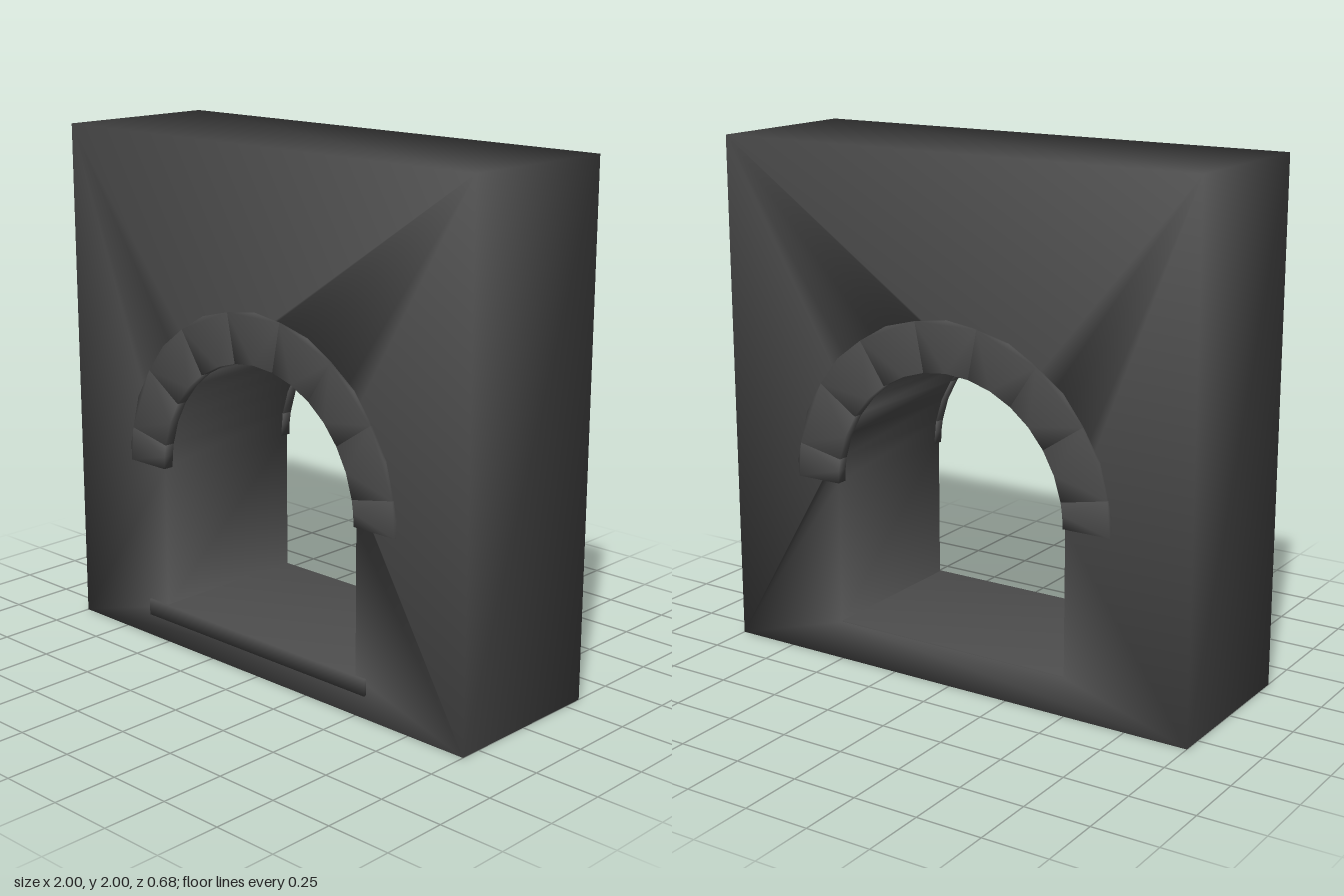
import * as THREE from 'three';
import { mergeVertices } from 'three/addons/utils/BufferGeometryUtils.js';

const WALL_Z = 0.333;   // half the wall thickness
const FACE_Z = 0.342;   // trim stands slightly proud of the wall
const SPRING_Y = 0.715; // height where the arch begins
const STEP = Math.PI / 8;

// Share normals across edges for the soft, fully smoothed look
function smooth(geometry) {
  geometry.deleteAttribute('uv');
  geometry.deleteAttribute('normal');
  const merged = mergeVertices(geometry, 1e-4);
  merged.computeVertexNormals();
  return merged;
}

function extrude(shape, z0, z1) {
  const g = new THREE.ExtrudeGeometry(shape, { depth: z1 - z0, bevelEnabled: false, curveSegments: 1 });
  g.translate(0, 0, z0);
  return smooth(g);
}

function polar(radius, angle) {
  return new THREE.Vector2(radius * Math.cos(angle), SPRING_Y + radius * Math.sin(angle));
}

export function createModel() {
  const model = new THREE.Group();
  model.name = 'archedWall';
  const stone = new THREE.MeshStandardMaterial({ color: 0x4d4d4d });
  stone.name = 'darkStone';

  function add(geometry, name, parent = model) {
    const mesh = new THREE.Mesh(geometry, stone);
    mesh.name = name;
    parent.add(mesh);
  }

  // Wall block with an arched opening
  const wall = new THREE.Shape([
    new THREE.Vector2(-1, 0), new THREE.Vector2(1, 0),
    new THREE.Vector2(1, 2), new THREE.Vector2(-1, 2),
  ]);
  const opening = [new THREE.Vector2(-0.5, 0.15), new THREE.Vector2(0.5, 0.15)];
  for (let i = 0; i <= 16; i++) opening.push(polar(0.5, (i / 16) * Math.PI));
  wall.holes.push(new THREE.Path(opening));
  add(extrude(wall, -WALL_Z, WALL_Z), 'wall');

  // Nine voussoirs on each face: half-width stones at the springing, keystone on top
  for (const [name, z0, z1] of [['frontArch', 0.3, FACE_Z], ['backArch', -FACE_Z, -0.3]]) {
    const arch = new THREE.Group();
    arch.name = name;
    model.add(arch);
    for (let i = 0; i < 9; i++) {
      const a0 = Math.max(0, (i - 0.5) * STEP);
      const a1 = Math.min(Math.PI, (i + 0.5) * STEP);
      const mid = (a0 + a1) / 2;
      const outline = new THREE.Shape([
        polar(0.495, a0), polar(0.685, a0), polar(0.69, mid),
        polar(0.685, a1), polar(0.495, a1), polar(0.495, mid),
      ]);
      add(extrude(outline, z0, z1), i === 4 ? 'keystone' : 'archStone' + (i + 1), arch);
    }
  }

  // Sill slab running through the opening, a little off centre
  const sill = new THREE.BoxGeometry(1.15, 0.065, FACE_Z + 0.33);
  sill.translate(-0.025, 0.1225, (FACE_Z - 0.33) / 2);
  add(smooth(sill), 'sill');

  return model;
}
